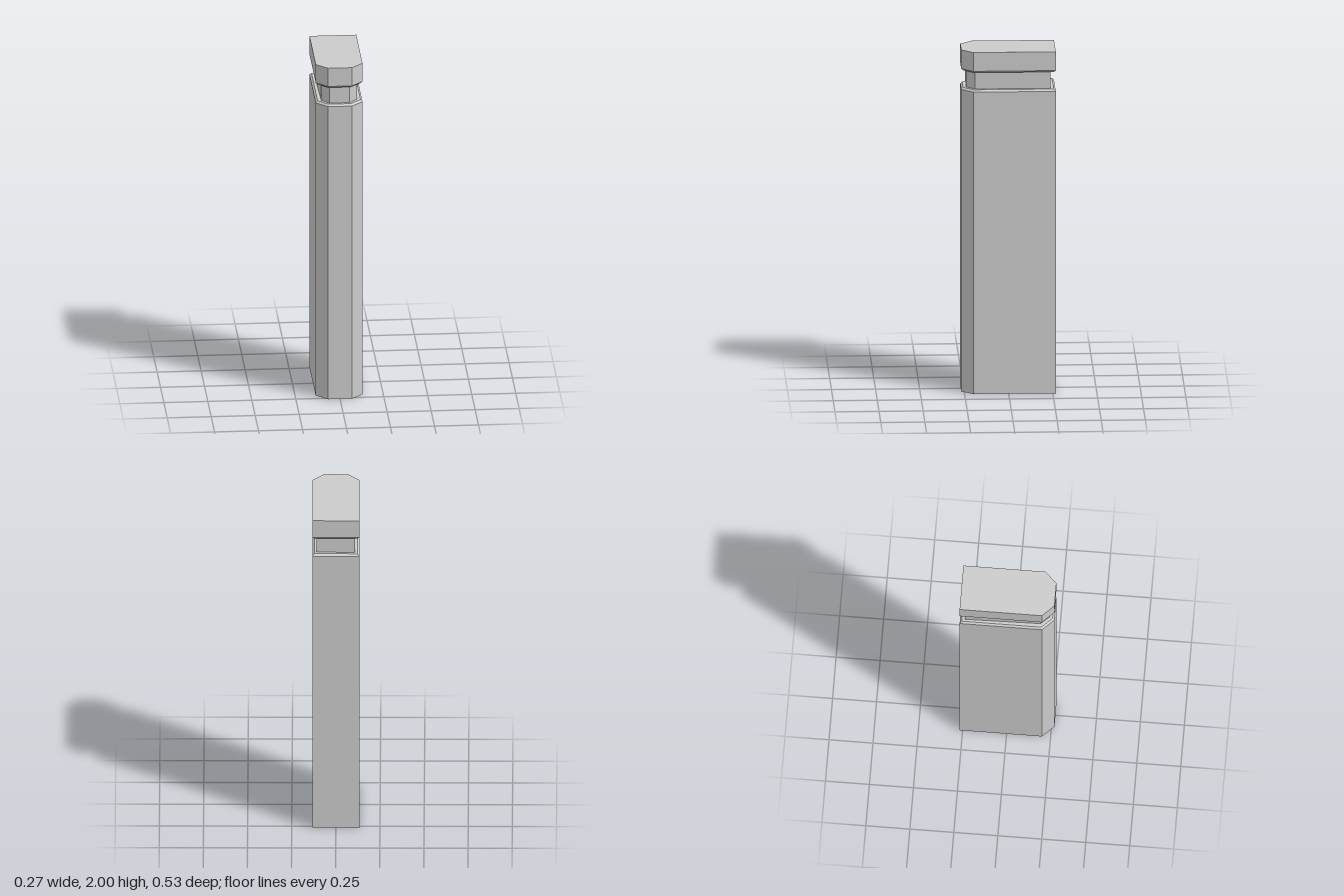
import * as THREE from 'three';

// Post outline: square at the back, two chamfered corners at the front.
// Every side is moved inward by the same distance d.
function outline(d, y) {
  const t = d * Math.tan(Math.PI / 8);
  const x = 0.133 - d, z = 0.267 - d, cx = 0.068 - t, cz = 0.201 - t;
  return [[-x, y, -z], [-x, y, cz], [-cx, y, z], [cx, y, z], [x, y, cz], [x, y, -z]];
}

// Closed solid through a stack of outlines, bottom to top
function loft(name, rings, material) {
  const pos = [];
  const tri = (a, b, c) => pos.push(...a, ...b, ...c);
  const n = rings[0].length;
  for (let r = 0; r < rings.length - 1; r++) {
    const lo = rings[r], hi = rings[r + 1];
    for (let i = 0; i < n; i++) {
      const j = (i + 1) % n;
      tri(lo[i], lo[j], hi[j]);
      tri(lo[i], hi[j], hi[i]);
    }
  }
  const bottom = rings[0], top = rings[rings.length - 1];
  for (let i = 1; i < n - 1; i++) {
    tri(bottom[0], bottom[i + 1], bottom[i]);
    tri(top[0], top[i], top[i + 1]);
  }
  const geometry = new THREE.BufferGeometry();
  geometry.setAttribute('position', new THREE.Float32BufferAttribute(pos, 3));
  geometry.computeVertexNormals();
  const mesh = new THREE.Mesh(geometry, material);
  mesh.name = name;
  return mesh;
}

export function createModel() {
  const group = new THREE.Group();
  group.name = 'post';
  const material = new THREE.MeshStandardMaterial({ color: 0xcccccc, flatShading: true });

  // Tall shaft with a small bevel round its top edge
  group.add(loft('shaft', [outline(0, 0), outline(0, 1.768), outline(0.011, 1.779)], material));

  // Recessed neck, its sides drawn in slightly towards the front
  const neckRing = (y) => {
    const ring = outline(0.028, y);
    ring[0][0] = -0.109; ring[5][0] = 0.109;
    ring[1][0] = -0.101; ring[4][0] = 0.101;
    return ring;
  };
  group.add(loft('neck', [neckRing(1.77), neckRing(1.885)], material));

  // Cap block with a bevelled underside
  group.add(loft('cap', [outline(0.011, 1.879), outline(0, 1.89), outline(0, 2)], material));
  return group;
}
